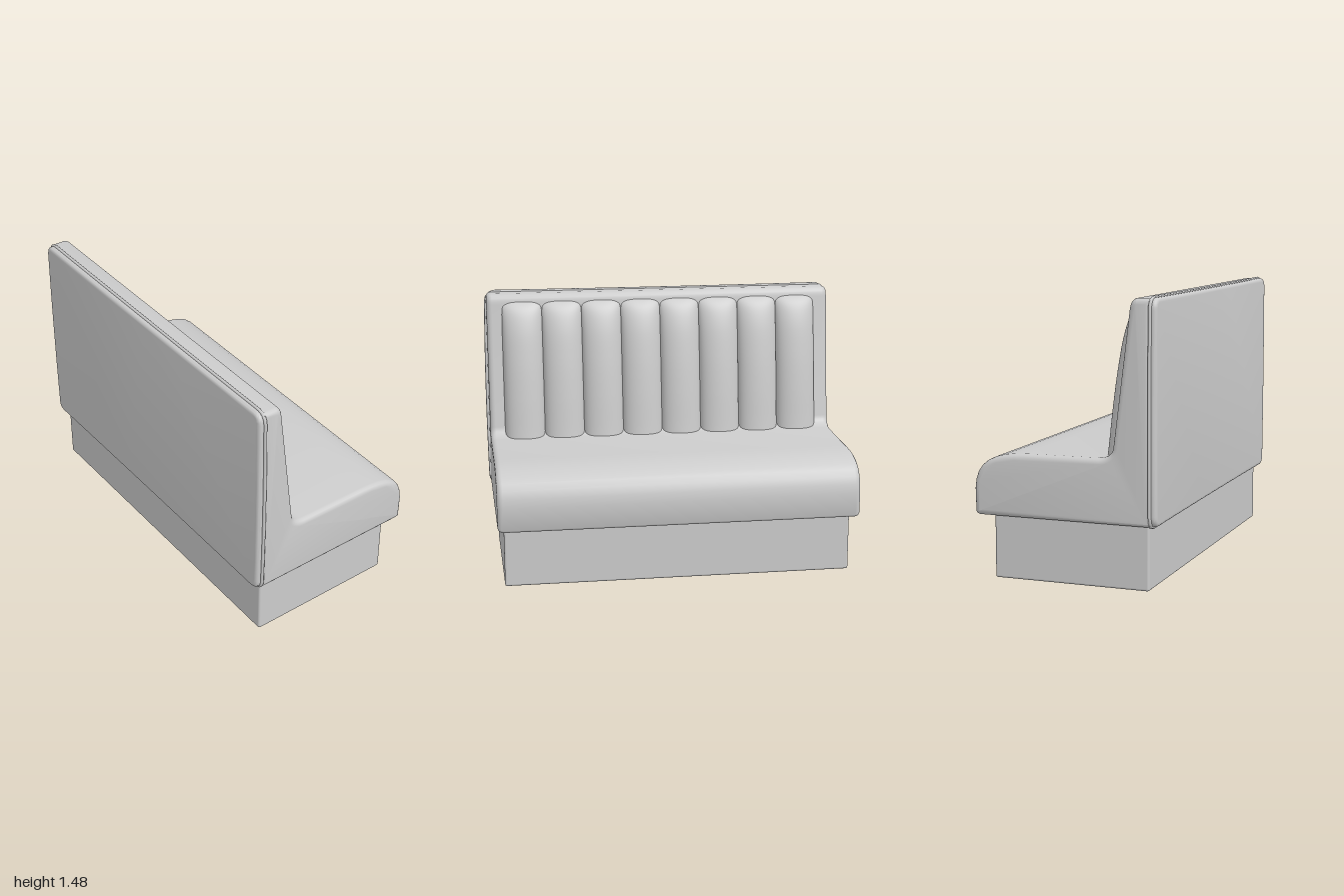
import * as THREE from 'three';
import { toCreasedNormals } from 'three/addons/utils/BufferGeometryUtils.js';
import { RoundedBoxGeometry } from 'three/addons/geometries/RoundedBoxGeometry.js';
import { ParametricGeometry } from 'three/addons/geometries/ParametricGeometry.js';

const material = new THREE.MeshStandardMaterial({ color: 0xcccccc });

function addMesh(parent, name, geometry) {
  const mesh = new THREE.Mesh(geometry, material);
  mesh.name = name;
  parent.add(mesh);
  return mesh;
}

// Extrusion whose rounded edges stay inside the outline and the given depth
function softExtrude(shape, depth, bevel) {
  const geometry = new THREE.ExtrudeGeometry(shape, {
    depth: depth - 2 * bevel, curveSegments: 8,
    bevelSize: bevel, bevelThickness: bevel, bevelOffset: -bevel, bevelSegments: 4,
  });
  geometry.translate(0, 0, bevel - depth / 2);
  return toCreasedNormals(geometry, 0.7);
}

// Rectangle with rounded corners and gently bowed sides
function bowedRect(x, y0, y1, r, bow) {
  const s = new THREE.Shape();
  const ym = (y0 + y1) / 2;
  s.moveTo(-x + r, y0);
  s.quadraticCurveTo(0, y0 + bow, x - r, y0);
  s.quadraticCurveTo(x, y0, x, y0 + r);
  s.quadraticCurveTo(x + bow * 2, ym, x, y1 - r);
  s.quadraticCurveTo(x, y1, x - r, y1);
  s.quadraticCurveTo(0, y1 - bow, -x + r, y1);
  s.quadraticCurveTo(-x, y1, -x, y1 - r);
  s.quadraticCurveTo(-x - bow * 2, ym, -x, y0 + r);
  s.quadraticCurveTo(-x, y0, -x + r, y0);
  return s;
}

// Side outline of the seat and backrest, drawn as (z, y)
function bodyProfile() {
  const s = new THREE.Shape();
  s.moveTo(0.47, 0.33);
  s.lineTo(0.47, 1.465);
  s.lineTo(0.39, 1.465);
  s.quadraticCurveTo(0.358, 1.46, 0.352, 1.41);
  s.lineTo(0.265, 0.72);
  s.quadraticCurveTo(0.257, 0.67, 0.19, 0.665);
  s.lineTo(-0.2, 0.662);
  s.bezierCurveTo(-0.4, 0.66, -0.49, 0.61, -0.496, 0.47);
  s.lineTo(-0.493, 0.35);
  s.quadraticCurveTo(-0.49, 0.33, -0.46, 0.33);
  s.closePath();
  return s;
}

// Front line of the channel padding, as (z, y) from seat to crest
const crest = new THREE.CatmullRomCurve3([
  [0.172, 0.6], [0.185, 0.7], [0.207, 0.9], [0.235, 1.1],
  [0.272, 1.28], [0.31, 1.375], [0.345, 1.415], [0.372, 1.43],
].map(([z, y]) => new THREE.Vector3(0, y, z)));

function channelGeometry(halfWidth) {
  const p = new THREE.Vector3();
  return new ParametricGeometry((u, v, target) => {
    crest.getPoint(v, p);
    const a = Math.PI * u;
    const rise = Math.pow(Math.max(Math.sin(a), 0), 0.8);
    const backZ = 0.275 + (p.y - 0.69) * 0.127;
    const depth = Math.max(backZ - p.z, 0.004);
    const drop = 0.035 * Math.pow(Math.cos(a), 4) * Math.pow(v, 6);
    target.set(halfWidth * Math.cos(a), p.y - drop, backZ - depth * rise);
  }, 24, 32);
}

export function createModel() {
  const model = new THREE.Group();
  model.name = 'boothBench';

  // Plinth
  addMesh(model, 'plinth', new RoundedBoxGeometry(1.9, 0.35, 0.845, 3, 0.012))
    .position.set(0, 0.175, 0.0275);

  // Upholstered seat and backrest in one sweep
  const body = softExtrude(bodyProfile(), 1.97, 0.03);
  body.rotateY(-Math.PI / 2);
  addMesh(model, 'seatAndBackrest', body);

  // Rear cushion panel
  addMesh(model, 'rearPanel', softExtrude(bowedRect(0.983, 0.33, 1.468, 0.06, 0.005), 0.05, 0.02))
    .position.z = 0.473;

  // Piping around the rear panel
  const loop = bowedRect(0.985, 0.328, 1.467, 0.055, 0.006).getSpacedPoints(160).slice(0, -1)
    .map((q) => new THREE.Vector3(q.x, q.y, 0.464));
  addMesh(model, 'piping', new THREE.TubeGeometry(new THREE.CatmullRomCurve3(loop, true), 200, 0.009, 8, true));

  // Vertical padded channels
  const channels = new THREE.Group();
  channels.name = 'backChannels';
  model.add(channels);
  const count = 8, pitch = 0.225;
  const geometry = channelGeometry(pitch / 2 + 0.002);
  for (let i = 0; i < count; i++) {
    addMesh(channels, 'channel' + (i + 1), geometry).position.x = (i - (count - 1) / 2) * pitch;
  }
  return model;
}
